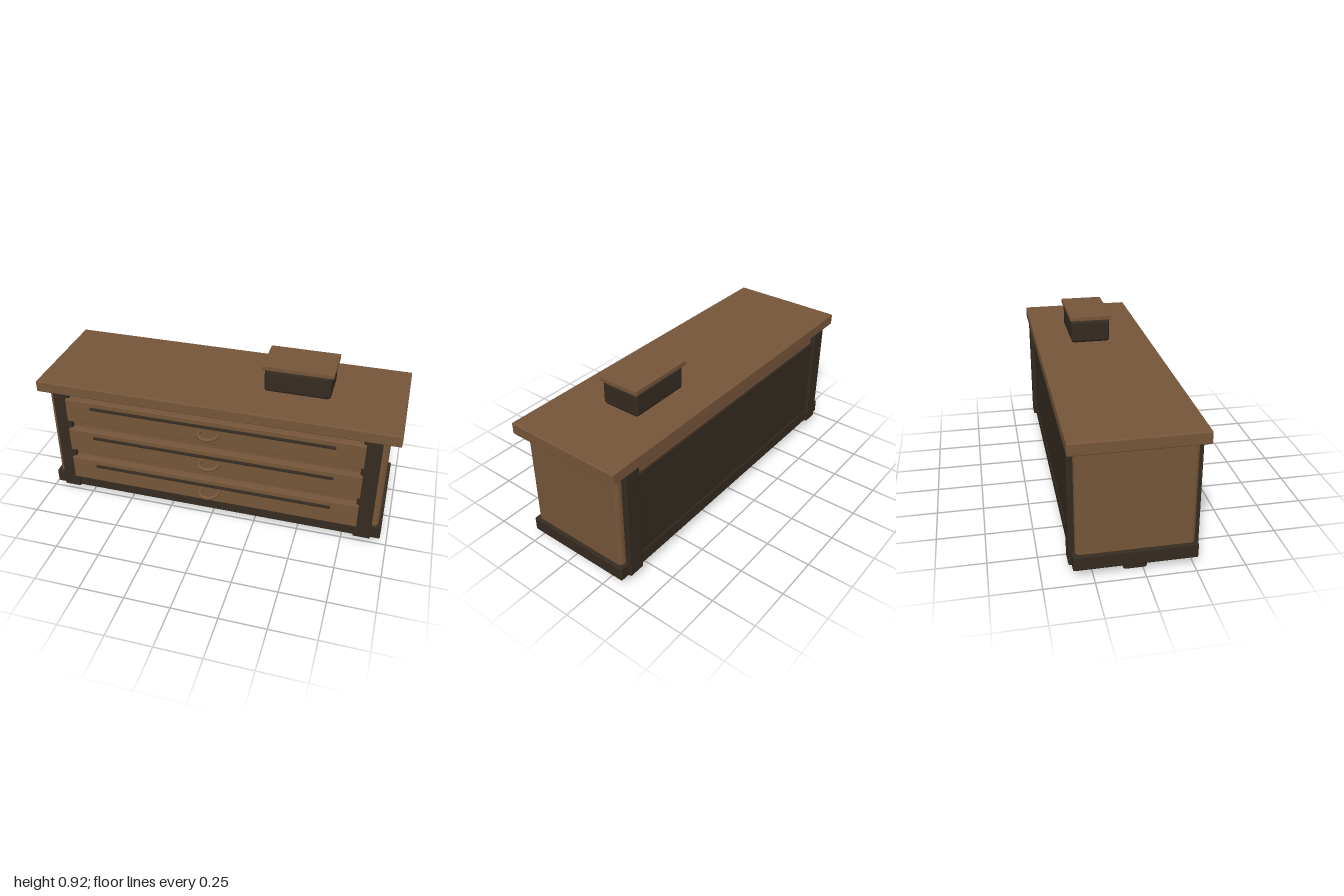
import * as THREE from 'three';
import { RoundedBoxGeometry } from 'three/addons/geometries/RoundedBoxGeometry.js';

export function createModel() {
  const root = new THREE.Group();
  root.name = 'sideboard';

  const wood = new THREE.MeshStandardMaterial({ color: 0x76563a });
  wood.name = 'walnut wood';
  const dark = new THREE.MeshStandardMaterial({ color: 0x352b20 });
  dark.name = 'dark wood';

  // Box given by its x, y and z ranges, with rounded edges
  function block(name, mat, [x0, x1], [y0, y1], [z0, z1], r = 0.005) {
    const geo = new RoundedBoxGeometry(x1 - x0, y1 - y0, z1 - z0, 3, r);
    const mesh = new THREE.Mesh(geo, mat);
    mesh.name = name;
    mesh.position.set((x0 + x1) / 2, (y0 + y1) / 2, (z0 + z1) / 2);
    root.add(mesh);
    return mesh;
  }

  // Carcass, plinth, worktop and back panel
  block('body', wood, [-0.945, 0.945], [0.06, 0.692], [-0.335, 0.255], 0.025);
  block('plinth', dark, [-0.963, 0.963], [0.05, 0.13], [-0.35, 0.268], 0.008);
  block('top', wood, [-1, 1], [0.69, 0.755], [-0.372, 0.29], 0.007);
  block('backPanel', dark, [-0.83, 0.83], [0.11, 0.62], [-0.345, -0.32], 0.003);

  // Corner posts and feet
  for (const [side, x0, x1] of [['left', 0.815, 0.91], ['right', -0.91, -0.815]]) {
    block(side + 'FrontPost', dark, [x0, x1], [0.05, 0.692], [0.19, 0.281], 0.006);
    block(side + 'BackPost', dark, [x0, x1], [0.05, 0.692], [-0.365, -0.275], 0.006);
    const c = Math.sign(x0) * 0.86;
    block(side + 'Foot', dark, [c - 0.07, c + 0.07], [0, 0.06], [-0.1, 0.02], 0.014);
  }

  // Drawers, each with a dark strip and a ring pull
  for (let i = 0; i < 3; i++) {
    const y = 0.205 + i * 0.197;
    block('drawerFront', wood, [-0.83, 0.83], [y - 0.071, y + 0.071], [0.25, 0.298], 0.004);
    block('drawerStrip', dark, [-0.68, 0.68], [y + 0.032, y + 0.043], [0.29, 0.312], 0.002);
    const pull = new THREE.Mesh(new THREE.TorusGeometry(0.053, 0.011, 12, 32), wood);
    pull.name = 'ringPull';
    pull.rotation.x = Math.PI / 2;
    pull.position.set(0, y, 0.311);
    root.add(pull);
  }

  // Lidded box standing on the top
  block('boxBody', dark, [0.238, 0.602], [0.755, 0.891], [-0.17, 0.055], 0.02);
  block('boxLid', wood, [0.228, 0.612], [0.891, 0.917], [-0.178, 0.062], 0.003);

  return root;
}
